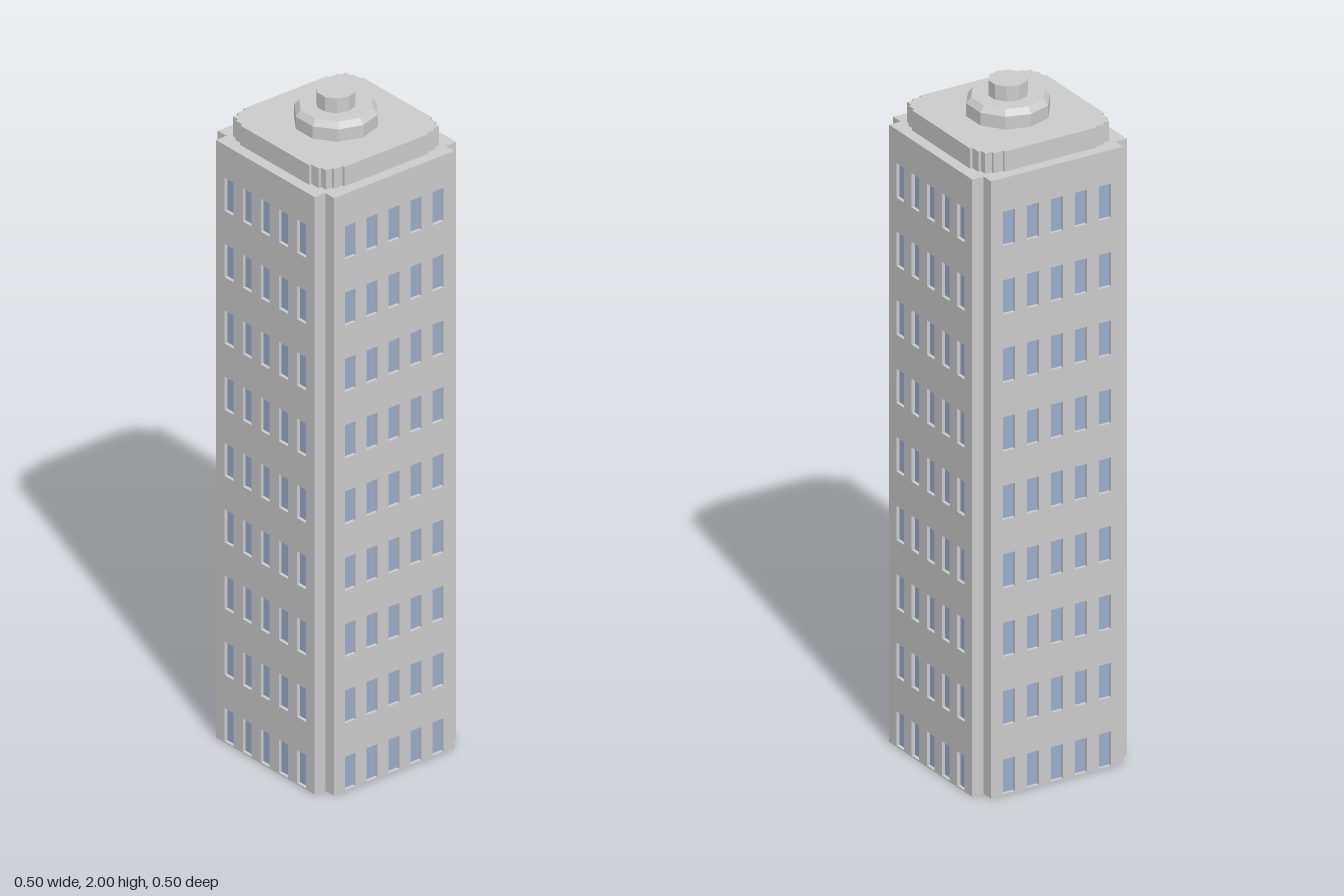
import * as THREE from 'three';
import { mergeGeometries } from 'three/addons/utils/BufferGeometryUtils.js';

const CORE = 0.211, FACE = 0.248, WALL_TOP = 1.84;
const COLS = 5, ROWS = 9, WIN_W = 0.038, WIN_H = 0.102, RECESS = 0.01;

const grey = new THREE.MeshStandardMaterial({ color: 0xcccccc, flatShading: true });
const glass = new THREE.MeshStandardMaterial({ color: 0x9aadcd });

function addMesh(parent, name, geometry, material = grey) {
  const mesh = new THREE.Mesh(geometry, material);
  mesh.name = name;
  parent.add(mesh);
  return mesh;
}

// Centre of every window on one facade
function windowCentres() {
  const centres = [];
  for (let r = 0; r < ROWS; r++) {
    for (let c = 0; c < COLS; c++) {
      centres.push([(c - (COLS - 1) / 2) * 0.077, 0.055 + r * 0.2042]);
    }
  }
  return centres;
}

function rectangle(Type, x0, y0, x1, y1) {
  return new Type([[x0, y0], [x1, y0], [x1, y1], [x0, y1]].map(([x, y]) => new THREE.Vector2(x, y)));
}

// Wall slab pierced by window openings, with recessed panes
function facade() {
  const group = new THREE.Group();
  const centres = windowCentres();
  const shape = rectangle(THREE.Shape, -CORE, 0, CORE, WALL_TOP);
  for (const [x, y] of centres) {
    shape.holes.push(rectangle(THREE.Path, x - WIN_W / 2, y - WIN_H / 2, x + WIN_W / 2, y + WIN_H / 2));
  }
  const wall = new THREE.ExtrudeGeometry(shape, { depth: FACE - CORE, bevelEnabled: false });
  addMesh(group, 'wall', wall.translate(0, 0, CORE));
  const panes = centres.map(([x, y]) =>
    new THREE.PlaneGeometry(WIN_W, WIN_H).translate(x, y, FACE - RECESS));
  addMesh(group, 'windows', mergeGeometries(panes), glass);
  return group;
}

// Roof slab outline: a square whose corners step in
function roofSlab() {
  const corner = [
    [0.215, 0.147], [0.207, 0.147], [0.207, 0.177], [0.198, 0.177], [0.198, 0.198],
    [0.177, 0.198], [0.177, 0.207], [0.147, 0.207], [0.147, 0.215],
  ];
  const points = [];
  for (let q = 0; q < 4; q++) {
    for (const [x, y] of corner) {
      points.push(new THREE.Vector2(x, y).rotateAround(new THREE.Vector2(), q * Math.PI / 2));
    }
  }
  return new THREE.ExtrudeGeometry(new THREE.Shape(points), { depth: 0.06, bevelEnabled: false })
    .rotateX(-Math.PI / 2).translate(0, WALL_TOP, 0);
}

// Ten-sided turned part with a corner on the x axis
function decagon(profile) {
  const points = profile.map(([r, y]) => new THREE.Vector2(r, y));
  return new THREE.LatheGeometry(points, 10, Math.PI / 2);
}

export function createModel() {
  const model = new THREE.Group();
  model.name = 'towerBlock';

  // Tower body
  addMesh(model, 'core', new THREE.BoxGeometry(CORE * 2, WALL_TOP, CORE * 2).translate(0, WALL_TOP / 2, 0));
  ['front', 'left', 'back', 'right'].forEach((side, i) => {
    const group = facade();
    group.name = side + 'Facade';
    group.rotation.y = i * Math.PI / 2;
    model.add(group);
  });

  // Stepped roof
  addMesh(model, 'roofSlab', roofSlab());
  addMesh(model, 'roofDrum', decagon([[0, 1.9], [0.117, 1.9], [0.117, 1.938], [0.103, 1.955], [0, 1.955]]));
  addMesh(model, 'roofCap', decagon([[0, 1.955], [0.055, 1.955], [0.055, 2], [0, 2]]));
  return model;
}
